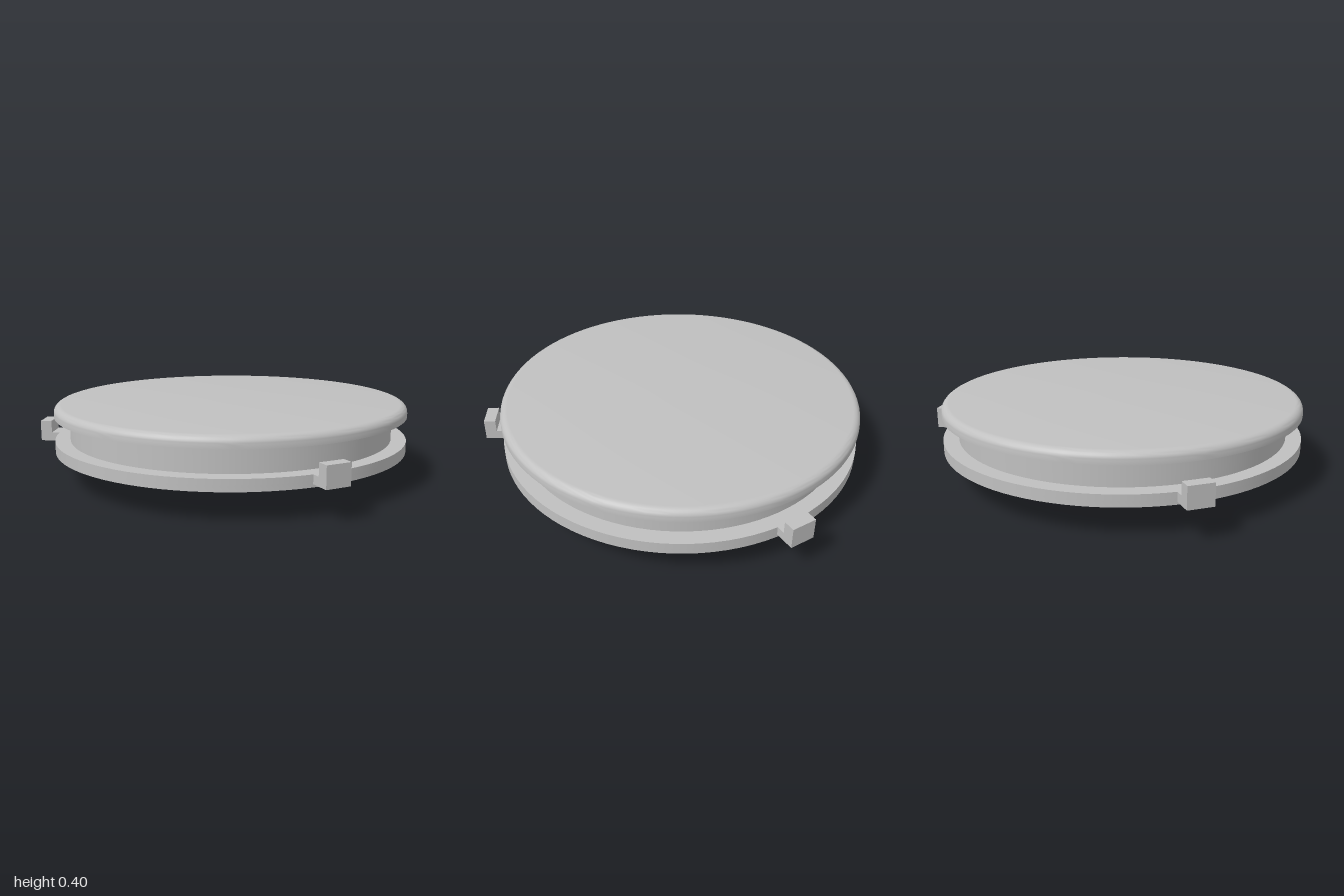
import * as THREE from 'three';
import { toCreasedNormals } from 'three/addons/utils/BufferGeometryUtils.js';

const SEGMENTS = 96;

export function createModel() {
  const model = new THREE.Group();
  model.name = 'roundBase';

  const grey = new THREE.MeshStandardMaterial({ color: 0xc0c0c0 });
  grey.name = 'plainGrey';

  // The discs share an axis slightly behind the origin
  const body = new THREE.Group();
  body.name = 'body';
  body.position.z = -0.05;
  model.add(body);

  const add = (name, geometry, parent = body) => {
    const mesh = new THREE.Mesh(geometry, grey);
    mesh.name = name;
    parent.add(mesh);
    return mesh;
  };

  // Cylinder given by its bottom and top heights
  const disc = (name, rBottom, rTop, y0, y1) => {
    const mesh = add(name, new THREE.CylinderGeometry(rTop, rBottom, y1 - y0, SEGMENTS));
    mesh.position.y = (y0 + y1) / 2;
  };

  // Lid with a rounded upper rim
  const R = 0.95, fillet = 0.04, lidBottom = 0.34, lidTop = 0.4;
  const profile = [new THREE.Vector2(0, lidBottom), new THREE.Vector2(R, lidBottom)];
  for (let i = 0; i <= 8; i++) {
    const a = (i / 8) * Math.PI / 2;
    profile.push(new THREE.Vector2(
      R - fillet + fillet * Math.cos(a), lidTop - fillet + fillet * Math.sin(a)));
  }
  profile.push(new THREE.Vector2(0, lidTop));
  add('lid', toCreasedNormals(new THREE.LatheGeometry(profile, SEGMENTS), 0.5));

  // Recessed drum, upper half of the base plate and tapered foot
  disc('drum', 0.87, 0.87, 0.21, 0.34);
  disc('basePlate', R, R, 0.18, 0.21);
  disc('foot', 0.18, 0.26, 0, 0.15);

  // Lower half of the base plate, with shallow round recesses
  const outline = new THREE.Shape().absarc(0, 0, R, 0, Math.PI * 2);
  const cutHole = (x, z, r) =>
    outline.holes.push(new THREE.Path().absarc(x, z, r, 0, Math.PI * 2, true));
  for (const x of [-0.19, 0.19]) cutHole(x, -0.42, 0.1);
  for (let i = 0; i < 4; i++) cutHole(-0.147 + i * 0.098, 0.41, 0.043);
  const underside = new THREE.ExtrudeGeometry(outline, {
    depth: 0.03, bevelEnabled: false, curveSegments: SEGMENTS / 2,
  });
  underside.rotateX(Math.PI / 2);
  add('recessedUnderside', toCreasedNormals(underside, 0.5)).position.y = 0.18;

  // Three L-shaped tabs evenly spaced around the rim
  const section = new THREE.Shape([
    [0.92, 0.165], [1.05, 0.165], [1.05, 0.275], [0.99, 0.275], [0.99, 0.21], [0.92, 0.21],
  ].map(([r, y]) => new THREE.Vector2(r, y)));
  const tabGeometry = new THREE.ExtrudeGeometry(section, { depth: 0.13, bevelEnabled: false });
  tabGeometry.translate(0, 0, -0.065);
  tabGeometry.rotateY(-Math.PI / 2);
  for (let i = 0; i < 3; i++) {
    add('rimTab', tabGeometry).rotation.y = i * Math.PI * 2 / 3;
  }

  return model;
}
